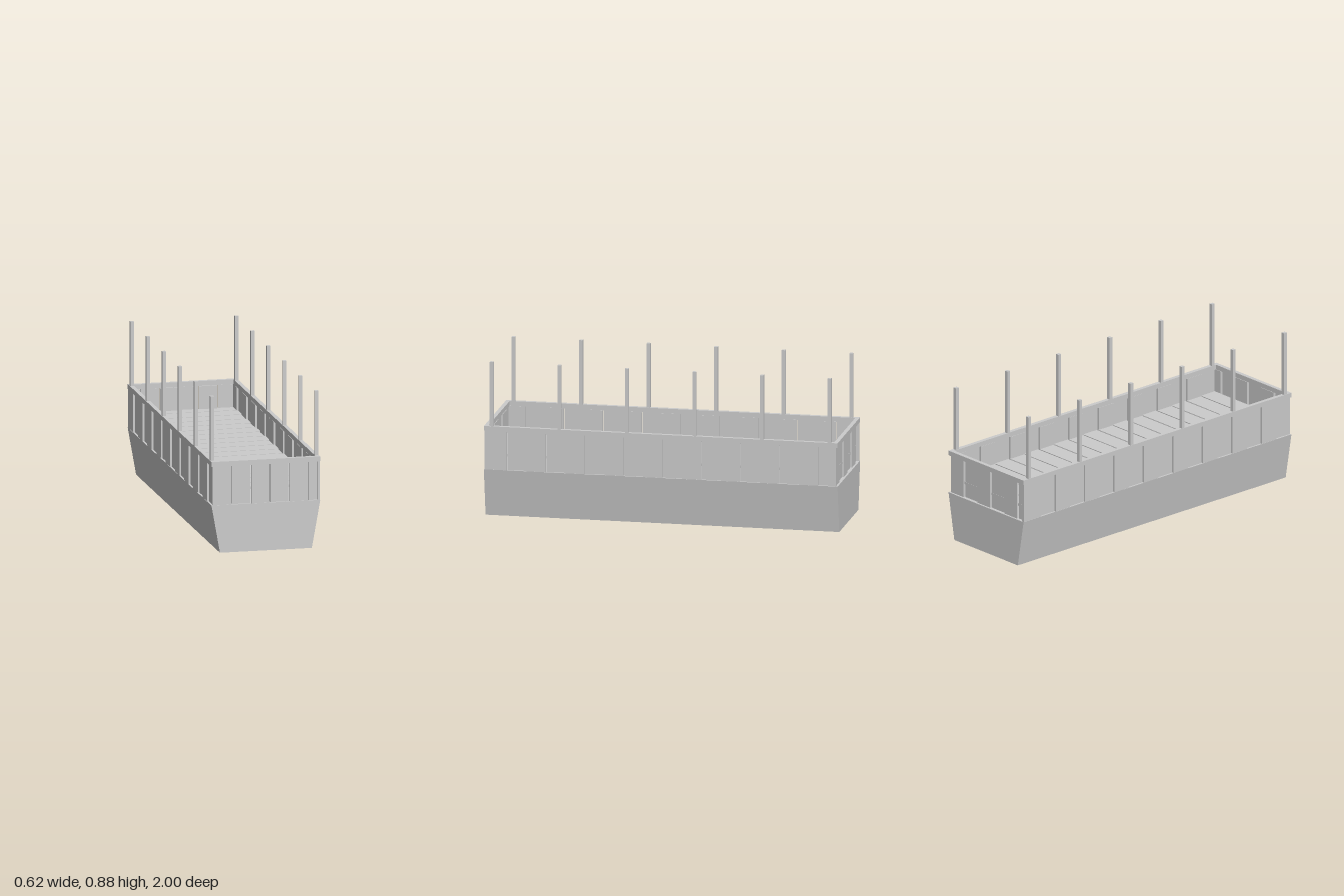
import * as THREE from 'three';

const material = new THREE.MeshStandardMaterial({ color: 0xcccccc, side: THREE.DoubleSide });

// Axis-aligned box given by its limits on each axis
function addBox(parent, name, x0, x1, y0, y1, z0, z1) {
  const mesh = new THREE.Mesh(new THREE.BoxGeometry(x1 - x0, y1 - y0, z1 - z0), material);
  mesh.position.set((x0 + x1) / 2, (y0 + y1) / 2, (z0 + z1) / 2);
  mesh.name = name;
  parent.add(mesh);
}

function subgroup(parent, name) {
  const group = new THREE.Group();
  group.name = name;
  parent.add(group);
  return group;
}

const HALF_W = 0.31, HULL_TOP = 0.27, RAIL_BASE = 0.49, RAIL_TOP = 0.517;
const BOARD = 0.11, THICK = 0.014;

// Tapered hull, open underneath
function createHull() {
  const geometry = new THREE.BoxGeometry(2 * HALF_W, HULL_TOP, 2);
  geometry.translate(0, HULL_TOP / 2, 0);
  const p = geometry.attributes.position;
  for (let i = 0; i < p.count; i++) {
    if (p.getY(i) < 0.01) p.setX(i, Math.sign(p.getX(i)) * 0.262);
  }
  const index = Array.from(geometry.index.array);
  index.splice(18, 6); // drop the bottom face
  geometry.setIndex(index);
  geometry.clearGroups();
  geometry.computeVertexNormals();
  const mesh = new THREE.Mesh(geometry, material);
  mesh.name = 'hull';
  return mesh;
}

export function createModel() {
  const model = new THREE.Group();
  model.name = 'barge';
  model.add(createHull());

  // Deck planks across the hold, with narrow gaps
  const deck = subgroup(model, 'deck');
  for (let i = 0; i < 18; i++) {
    const z0 = i === 0 ? -0.985 : -0.895 + (i - 1) * BOARD;
    const z1 = Math.min(-0.895 + i * BOARD, 0.985);
    addBox(deck, 'deckPlank', -0.292, 0.292, 0.345, 0.36, z0 + 0.004, z1 - 0.004);
  }

  // Side walls: boards alternate between flush and set back;
  // the left wall is the right wall turned half a circle
  for (const turn of [1, -1]) {
    const wall = subgroup(model, turn > 0 ? 'leftWall' : 'rightWall');
    for (let i = 0; i < 18; i++) {
      const z1 = i === 0 ? 0.998 : 0.87 - (i - 1) * BOARD;
      const z0 = Math.max(0.87 - i * BOARD, -0.985);
      const outer = i % 2 ? 0.299 : 0.309;
      addBox(wall, 'sideBoard', outer - THICK, outer, HULL_TOP, RAIL_BASE, z0 + 0.001, z1 - 0.001);
    }
    wall.rotation.y = turn > 0 ? 0 : Math.PI;
  }

  // End walls
  for (const turn of [1, -1]) {
    const wall = subgroup(model, turn > 0 ? 'frontWall' : 'backWall');
    for (let i = 0; i < 6; i++) {
      const x0 = -0.305 + i * BOARD;
      const x1 = Math.min(x0 + BOARD, 0.298);
      const outer = (i % 2 ? 0.988 : 0.997) - (turn > 0 ? 0 : 0.008);
      addBox(wall, 'endBoard', x0 + 0.003, x1 - 0.003, HULL_TOP, RAIL_BASE, outer - THICK, outer);
    }
    wall.rotation.y = turn > 0 ? 0 : Math.PI;
  }

  // Rail around the top of the walls
  const rail = subgroup(model, 'rail');
  for (const s of [-1, 1]) {
    addBox(rail, 'sideRail', s * 0.2985 - 0.0115, s * 0.2985 + 0.0115, RAIL_BASE, RAIL_TOP, -1, 1);
    addBox(rail, 'endRail', -0.287, 0.287, RAIL_BASE, RAIL_TOP, s * 0.9885 - 0.0115, s * 0.9885 + 0.0115);
  }

  // Upright posts along both sides
  const posts = subgroup(model, 'posts');
  for (const s of [-1, 1]) {
    for (let i = 0; i < 6; i++) {
      const z = 0.957 - i * 0.382;
      addBox(posts, 'post', s * 0.298 - 0.01, s * 0.298 + 0.01, RAIL_TOP, 0.883, z - 0.01, z + 0.01);
    }
  }
  return model;
}
